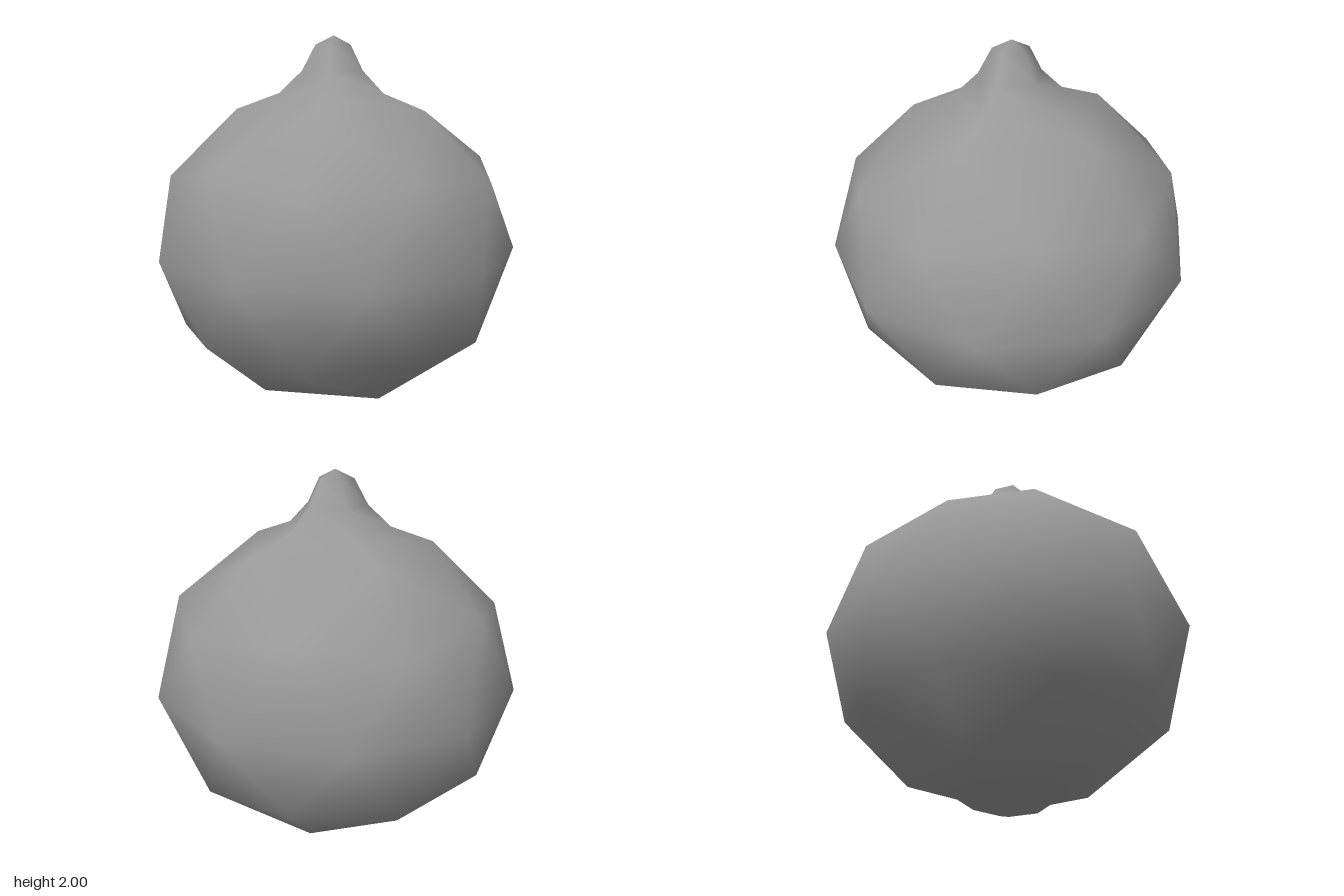
import * as THREE from 'three';

const CENTRE = 0.89;

export function createModel() {
  const group = new THREE.Group();
  const grey = new THREE.MeshStandardMaterial({ color: 0x999999 });
  grey.name = 'grey';

  const positions = [], faces = [];
  const point = (r, y, degrees) => {
    const a = THREE.MathUtils.degToRad(degrees);
    positions.push(r * Math.cos(a), y, r * Math.sin(a));
    return positions.length / 3 - 1;
  };
  const ring = (count, start, profile) => Array.from({ length: count }, (_, j) =>
    point(...profile(j), start + j * 360 / count));

  // Body: three rings of ten, the outer two alternating between corners and edge midpoints
  const corner = [0.876, 0.387], middle = [0.834, 0.455];
  const shoulder = (side, even) => ring(10, 0, (j) => {
    const [r, h] = (j % 2 === 0) === even ? corner : middle;
    return [r, CENTRE + side * h];
  });
  const upper = shoulder(1, true);
  const lower = shoulder(-1, false);
  const equator = ring(10, 18, () => [0.98, CENTRE]);
  for (let j = 0; j < 10; j++) {
    const k = (j + 1) % 10;
    faces.push(upper[j], upper[k], equator[j], upper[k], equator[k], equator[j]);
    faces.push(equator[j], lower[k], lower[j], equator[j], equator[k], lower[k]);
  }

  // Cap: five-sided rings closing from a shoulder ring to a tip
  function cap(base, start, profile, tipY, flip) {
    const add = (a, b, c) => (flip ? faces.push(a, c, b) : faces.push(a, b, c));
    const rings = profile.map(([r, y]) => ring(5, start * 36, () => [r, y]));
    const tip = point(0, tipY, 0);
    for (let i = 0; i < 5; i++) {
      const n = (i + 1) % 5;
      const at = (s) => base[(2 * i + start + s + 10) % 10];
      const outer = rings[0];
      add(outer[i], at(1), at(0));
      add(outer[i], outer[n], at(1));
      add(outer[n], at(2), at(1));
      for (let s = 1; s < rings.length; s++) {
        const below = rings[s - 1], above = rings[s];
        add(above[i], above[n], below[i]);
        add(above[n], below[n], below[i]);
      }
      const last = rings[rings.length - 1];
      add(tip, last[n], last[i]);
    }
  }
  // Nub on top and shallow navel underneath
  cap(upper, 0, [[0.516, 1.624], [0.29, 1.705], [0.17, 1.82], [0.098, 1.953]], 2, false);
  cap(lower, 1, [[0.516, 0.155], [0.26, 0.088], [0.178, 0.036]], 0, true);

  const geometry = new THREE.BufferGeometry();
  geometry.setAttribute('position', new THREE.Float32BufferAttribute(positions, 3));
  geometry.setIndex(faces);
  geometry.computeVertexNormals();

  const body = new THREE.Mesh(geometry, grey);
  body.name = 'fruitBody';
  group.add(body);
  return group;
}
